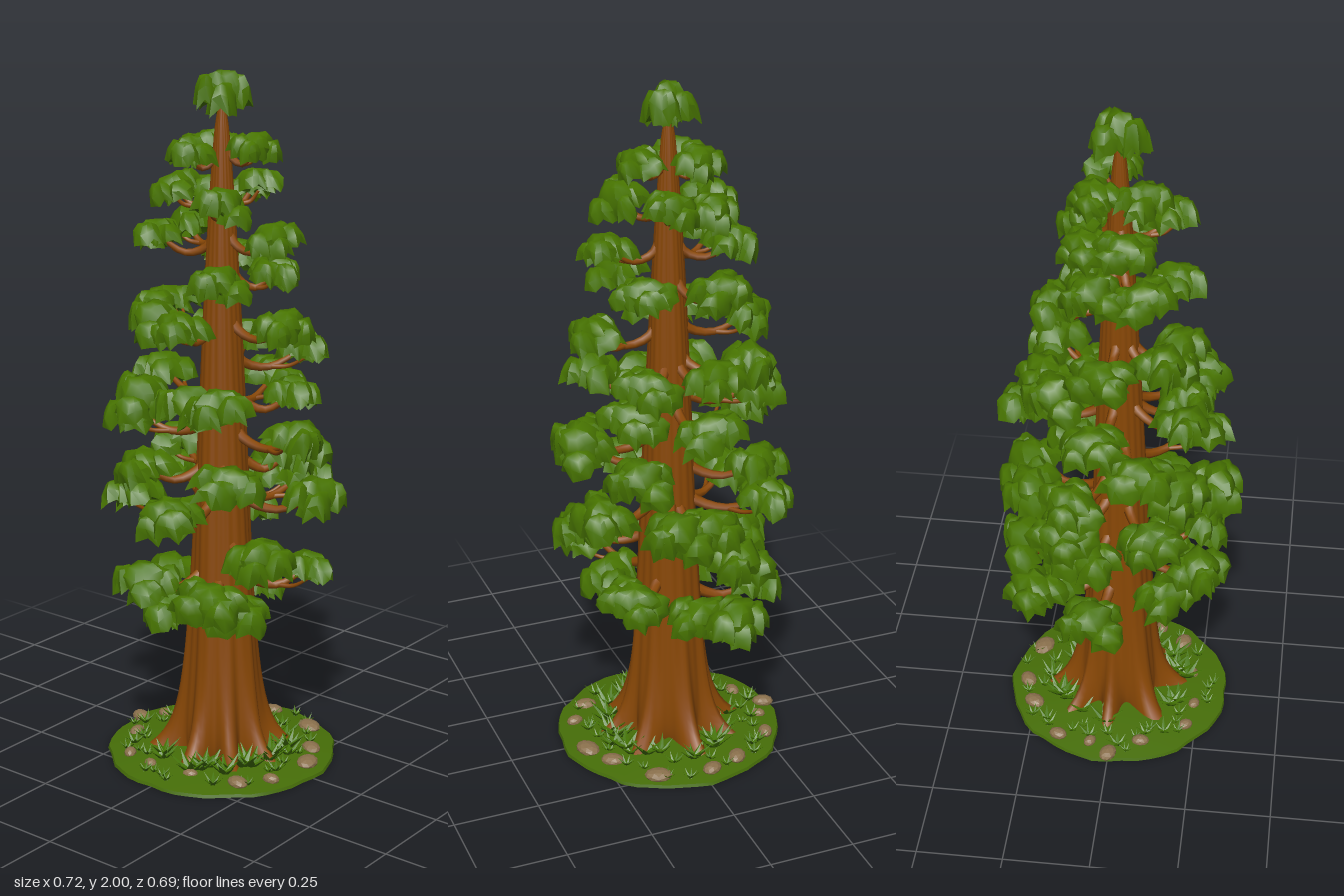
import * as THREE from 'three';
import { mergeGeometries, mergeVertices, toCreasedNormals } from 'three/addons/utils/BufferGeometryUtils.js';

const paint = (name, color) => Object.assign(new THREE.MeshStandardMaterial({ color }), { name });

// Seeded random numbers
let seed = 7;
const rnd = (a = 0, b = 1) => {
  seed = (seed * 16807) % 2147483647;
  return a + (b - a) * (seed / 2147483647);
};

// Trunk radius by height: a rounded taper plus a flared foot
const TRUNK_TOP = 1.93;
const trunkRadius = (y) => 0.006 + 0.1 * Math.pow(1 - y / TRUNK_TOP, 0.65) + 0.04 * Math.exp(-y / 0.2);

// Move every vertex by a rule given in angle, radius and height
function reshape(geo, rule) {
  const p = geo.attributes.position;
  for (let i = 0; i < p.count; i++) {
    const x = p.getX(i), z = p.getZ(i);
    const a = Math.atan2(x, z);
    const [r, y] = rule(a, Math.hypot(x, z), p.getY(i));
    p.setXYZ(i, Math.sin(a) * r, y, Math.cos(a) * r);
  }
  return geo;
}

function smooth(geo) {
  geo.deleteAttribute('uv');
  geo.deleteAttribute('normal');
  const g = mergeVertices(geo, 1e-5);
  g.computeVertexNormals();
  return g;
}

// Fluted trunk whose ridges spread into roots at the foot
function trunkGeometry() {
  const pts = [];
  for (let i = 0; i <= 36; i++) {
    const y = TRUNK_TOP * Math.pow(i / 36, 1.6);
    pts.push(new THREE.Vector2(trunkRadius(y), y));
  }
  return smooth(reshape(new THREE.LatheGeometry(pts, 80), (a, r, y) => {
    const ridge = Math.pow(0.5 + 0.5 * Math.cos(8 * a + 0.9 * Math.sin(2 * a + 1)), 1.3);
    const bark = 0.02 * Math.sin(19 * a + 3 * y) + 0.025 * Math.sin(5 * a + 4 * y);
    const root = (0.12 * Math.exp(-y / 0.05) + 0.032 * Math.exp(-y / 0.22)) * (ridge - 0.3);
    return [r * (1 + bark) + root, y];
  }));
}

// One ragged, drooping cap of needles with a hollow underside
function puff(r, h, x, y, z) {
  const s = rnd(0, 6), n = 12;
  const pts = [[0, -0.1], [0.55, -0.2], [1, -0.4], [0.94, 0.3], [0.6, 0.85], [0, 1]]
    .map(([u, v]) => new THREE.Vector2(u, v));
  const geo = reshape(new THREE.LatheGeometry(pts, n), (a, u, v) => {
    const odd = Math.abs(Math.round(a / (2 * Math.PI) * n)) % 2;
    const rim = v < -0.3 ? 1 : 0;
    const lobes = 1 + 0.14 * Math.sin(2 * a + s) + 0.1 * Math.sin(5 * a + 2 * s);
    const k = u * lobes * (1 + rim * (odd ? 0.16 : -0.1));
    return [k * r, (v - rim * odd * 0.25 + 0.2 * u * Math.sin(3 * a + s)) * h];
  });
  return geo.translate(x, y, z);
}

function clumpGeometry() {
  const parts = [puff(0.66, 0.46, 0, 0.06, 0)];
  const turn = rnd(0, 6);
  for (let i = 0; i < 4; i++) {
    const a = turn + i * Math.PI * 0.5 + rnd(-0.25, 0.25), d = rnd(0.42, 0.6);
    parts.push(puff(rnd(0.42, 0.56), rnd(0.36, 0.46), Math.sin(a) * d, rnd(-0.22, 0.06), Math.cos(a) * d));
  }
  return toCreasedNormals(mergeGeometries(parts), 0.8);
}

// Tube along a curve, thinning from r0 to r1
function limb(points, r0, r1) {
  const curve = new THREE.CatmullRomCurve3(points);
  const rings = 8, sides = 7;
  const geo = new THREE.TubeGeometry(curve, rings, 1, sides);
  const p = geo.attributes.position, v = new THREE.Vector3();
  for (let i = 0; i < p.count; i++) {
    const t = Math.floor(i / (sides + 1)) / rings, c = curve.getPointAt(t);
    v.fromBufferAttribute(p, i).sub(c).multiplyScalar(r0 + (r1 - r0) * t).add(c);
    p.setXYZ(i, v.x, v.y, v.z);
  }
  return geo;
}

// Branch tiers from the crown downward: height, then compass angle in degrees and reach of each
const TIERS = [
  [1.79, [-131, 0.09], [17, 0.1], [139, 0.09]],
  [1.66, [75, 0.11], [141, 0.13], [-52, 0.16], [-167, 0.14]],
  [1.54, [0, 0.18], [161, 0.18], [-153, 0.18]],
  [1.45, [-56, 0.18], [115, 0.19], [42, 0.15]],
  [1.31, [173, 0.23], [0, 0.22], [-97, 0.17], [-133, 0.19]],
  [1.22, [55, 0.24], [107, 0.21], [138, 0.24]],
  [1.1, [-54, 0.26], [-121, 0.24], [94, 0.27], [39, 0.2], [169, 0.255], [-81, 0.19]],
  [1.01, [2, 0.27], [-162, 0.26]],
  [0.9, [-48, 0.28], [155, 0.26], [-128, 0.23], [43, 0.19]],
  [0.79, [96, 0.26], [-84, 0.28], [73, 0.29], [24, 0.27], [152, 0.285], [-153, 0.26]],
  [0.67, [-28, 0.26], [114, 0.28], [158, 0.21]],
  [0.57, [-111, 0.26], [-59, 0.28], [45, 0.25]],
  [0.48, [-41, 0.18], [100, 0.18], [116, 0.27], [167, 0.26], [-118, 0.17]],
];

export function createModel() {
  seed = 7;
  const bark = paint('bark', 0x884705);
  const needles = paint('needles', 0x487500);
  const turf = paint('turf', 0x466e08);
  const blades = paint('grass blades', 0x447402);
  const stone = paint('stone', 0x8a704c);
  const tree = new THREE.Group();
  tree.name = 'tree';
  const add = (name, geo, mat) => {
    const m = new THREE.Mesh(geo, mat);
    m.name = name;
    tree.add(m);
    return m;
  };

  // Low domed ground disc
  const disc = [[0, 0], [0.335, 0], [0.332, 0.009], [0.25, 0.02], [0, 0.035]].map((p) => new THREE.Vector2(...p));
  add('ground', toCreasedNormals(reshape(new THREE.LatheGeometry(disc, 48),
    (a, r, y) => [r * (1 + 0.012 * Math.sin(9 * a) + 0.008 * Math.sin(17 * a)), y]), 0.6), turf);

  add('trunk', trunkGeometry(), bark);

  // Foliage clumps, each on its own forked branch
  const variants = [0, 1, 2, 3].map(clumpGeometry);
  const top = add('crown', variants[0], needles);
  top.position.set(0, 1.93, 0);
  top.scale.set(0.078, 0.13, 0.078);
  const limbs = [];
  TIERS.forEach(([height, ...tips], tier) => tips.forEach(([degrees, d], i) => {
    const a = THREE.MathUtils.degToRad(degrees);
    const y = height + rnd(-0.015, 0.015);
    const size = 0.1 - 0.02 * Math.max(0, (y - 1) / 0.8);
    const at = (r, h, turn = 0) => new THREE.Vector3(Math.sin(a + turn) * r, h, Math.cos(a + turn) * r);
    const clump = add('foliage', variants[(tier + i) % 4], needles);
    clump.position.copy(at(d, y));
    clump.rotation.set(rnd(0, 0.35), a + rnd(-0.3, 0.3), rnd(-0.2, 0.2), 'YXZ');
    clump.scale.set(size * 1.08, size * rnd(1, 1.15), size * 0.88);

    const r = trunkRadius(y), mid = r + (d - r) * 0.45;
    limbs.push(limb([at(r * 0.7, y - 0.005), at(r * 1.15, y - 0.03), at(mid, y - 0.045), at(d, y)],
      0.01 + r * 0.1, 0.006));
    const side = i % 2 ? 0.25 : -0.25;
    limbs.push(limb([at(mid, y - 0.045), at((mid + d) / 2, y - 0.04, side * 0.6), at(d, y - 0.01, side)], 0.008, 0.004));
  }));
  add('branches', mergeGeometries(limbs), bark);

  // Grass tufts of broad leaning blades
  const tuft = [];
  for (let i = 0; i < 7; i++) {
    const h = rnd(0.05, 0.075);
    tuft.push(new THREE.ConeGeometry(0.012, h, 4).scale(1, 1, 0.5).translate(0, h / 2, 0)
      .rotateX(rnd(0.35, 0.95)).rotateY(i * 0.9));
  }
  const tuftGeo = toCreasedNormals(mergeGeometries(tuft), 0.6);
  for (let i = 0; i < 56; i++) {
    const a = i * 2.4, d = 0.17 + 0.14 * Math.pow(rnd(), 1.3);
    const t = add('grassTuft', tuftGeo, blades);
    t.position.set(Math.sin(a) * d, 0.014, Math.cos(a) * d);
    t.rotation.y = rnd(0, 6);
    t.scale.setScalar(rnd(0.7, 1.2) * (d < 0.22 ? 1.2 : 0.65));
  }

  // Half-buried stones
  const stoneGeo = toCreasedNormals(new THREE.IcosahedronGeometry(1, 1), 0.3);
  for (let i = 0; i < 14; i++) {
    const a = Math.PI + i * 2.4, d = i ? rnd(0.23, 0.3) : 0.315, s = i ? rnd(0.018, 0.036) : 0.027;
    const rock = add('stone', stoneGeo, stone);
    rock.position.set(Math.sin(a) * d, 0.018, Math.cos(a) * d);
    rock.rotation.y = rnd(0, 6);
    rock.scale.set(s * 1.2, Math.min(s * 0.8, 0.017), s * 0.9);
  }
  return tree;
}
